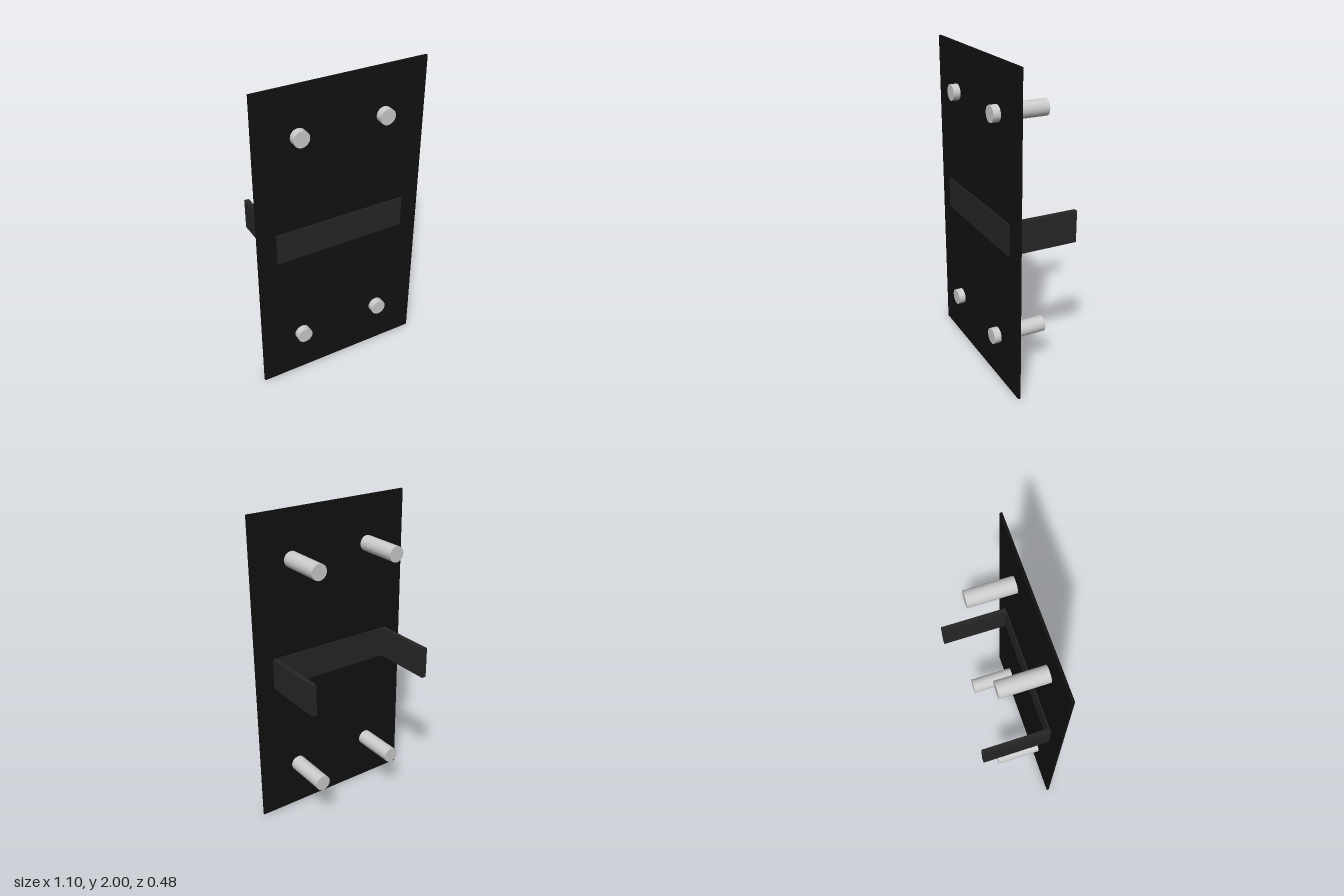
import * as THREE from 'three';

const PANEL_Z = 0.19;

export function createModel() {
  const model = new THREE.Group();
  const panelMat = new THREE.MeshStandardMaterial({ color: 0x111111 });
  const bracketMat = new THREE.MeshStandardMaterial({ color: 0x262626 });
  const pinMat = new THREE.MeshStandardMaterial({ color: 0xcccccc });

  const add = (parent, name, geometry, material, x, y, z) => {
    const mesh = new THREE.Mesh(geometry, material);
    mesh.name = name;
    mesh.position.set(x, y, z);
    parent.add(mesh);
    return mesh;
  };

  // Thin upright plate
  add(model, 'panel', new THREE.BoxGeometry(1.1, 2, 0.015), panelMat, 0, 1, PANEL_Z);

  // U-shaped bracket: strap set through the plate, with an arm at each end
  const bracket = new THREE.Group();
  bracket.name = 'bracket';
  model.add(bracket);
  const strapDepth = 0.03, back = -0.2425;
  const armFront = PANEL_Z - strapDepth / 2;
  add(bracket, 'strap', new THREE.BoxGeometry(0.86, 0.2, strapDepth), bracketMat, 0, 1, PANEL_Z);
  const armGeo = new THREE.BoxGeometry(0.03, 0.2, armFront - back);
  for (const side of [1, -1]) {
    add(bracket, side > 0 ? 'leftArm' : 'rightArm', armGeo, bracketMat, side * 0.415, 1, (armFront + back) / 2);
  }

  // Four round pins passing through the plate
  const pinGeo = new THREE.CylinderGeometry(0.05, 0.05, 0.35, 32).rotateX(Math.PI / 2);
  for (const [level, y] of [['lower', 0.3], ['upper', 1.7]]) {
    for (const side of [1, -1]) {
      add(model, level + (side > 0 ? 'LeftPin' : 'RightPin'), pinGeo, pinMat, side * 0.275, y, 0.0675);
    }
  }
  return model;
}
